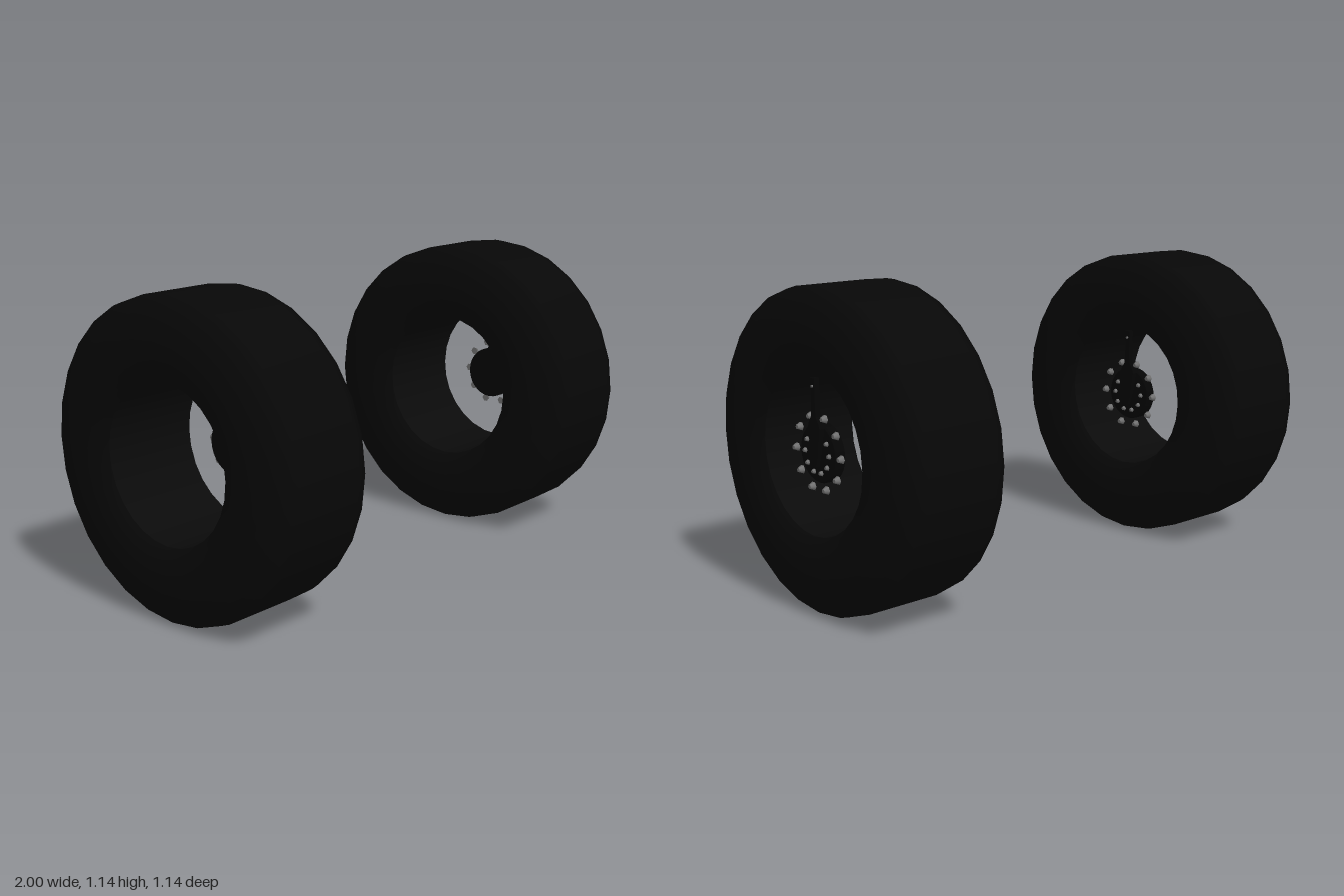
import * as THREE from 'three';

const R = 0.572; // wheel radius

function material(name, color) {
  const m = new THREE.MeshStandardMaterial({ color });
  m.name = name;
  return m;
}

// Lathe around the x axis, profile given as [radius, x]
function latheX(points, segments) {
  const g = new THREE.LatheGeometry(points.map(([r, x]) => new THREE.Vector2(r, x)), segments);
  return g.rotateZ(-Math.PI / 2);
}

function createWheel(mats) {
  const wheel = new THREE.Group();
  const add = (name, geometry, mat, x = 0, y = 0, z = 0) => {
    const mesh = new THREE.Mesh(geometry, mat);
    mesh.name = name;
    mesh.position.set(x, y, z);
    wheel.add(mesh);
    return mesh;
  };

  // Tyre: stepped shoulders, bulging sidewalls, open in the middle
  const side = [[0.572, 0.145], [0.566, 0.178], [0.522, 0.189], [0.512, 0.205],
    [0.43, 0.224], [0.36, 0.22], [0.31, 0.206], [0.288, 0.187]];
  const profile = [...side.map(([r, x]) => [r, -x]).reverse(), ...side];
  add('tyre', latheX(profile, 28), mats.rubber);

  // Inner wall of the wheel
  add('rimBarrel', latheX([[0.288, 0.187], [0.288, -0.187]], 28), mats.rim);

  // Hub cap
  add('hubCap', latheX([[0, 0.125], [0.105, 0.125], [0.105, 0.125], [0.105, 0.155],
    [0.1, 0.162], [0.1, 0.162], [0, 0.165]], 28), mats.hub);

  // Air line arm rising from the hub
  const half = [[0.006, -0.045], [0.02, 0.0], [0.034, 0.09], [0.028, 0.108],
    [0.014, 0.13], [0.011, 0.16], [0.011, 0.262]];
  const outline = [...half, ...half.map(([x, y]) => [-x, y]).reverse()];
  const arm = new THREE.ExtrudeGeometry(
    new THREE.Shape(outline.map(([x, y]) => new THREE.Vector2(x, y))),
    { depth: 0.02, bevelEnabled: false });
  add('airLineArm', arm.rotateY(Math.PI / 2), mats.hub, 0.16, 0, -0.005);

  // Ten tapered wheel nuts, and eight cap bolts clear of the arm
  const nut = new THREE.CylinderGeometry(0.008, 0.016, 0.018, 6).rotateZ(-Math.PI / 2);
  const bolt = new THREE.CylinderGeometry(0.006, 0.01, 0.01, 6).rotateZ(-Math.PI / 2);
  for (let i = 0; i < 10; i++) {
    const a = (i + 0.5) * Math.PI / 5;
    const y = Math.cos(a), z = Math.sin(a);
    add('wheelNut', nut, mats.steel, 0.165, y * 0.13, z * 0.13);
    if (i > 0 && i < 9) add('capBolt', bolt, mats.steel, 0.169, y * 0.07, z * 0.07);
  }
  const tip = new THREE.CylinderGeometry(0.005, 0.005, 0.008, 6).rotateZ(-Math.PI / 2);
  add('armBolt', tip, mats.steel, 0.181, 0.235, -0.005);

  return wheel;
}

export function createModel() {
  const model = new THREE.Group();
  model.name = 'wheelPair';
  const mats = {
    rubber: material('black rubber', 0x070707),
    rim: material('dark rim', 0x0a0a0a),
    hub: material('black hub', 0x050505),
    steel: material('grey steel', 0x747474),
  };
  // Both wheels face the same way
  for (const [name, x] of [['leftWheel', 0.774], ['rightWheel', -0.776]]) {
    const wheel = createWheel(mats);
    wheel.name = name;
    wheel.position.set(x, R, 0);
    model.add(wheel);
  }
  return model;
}
